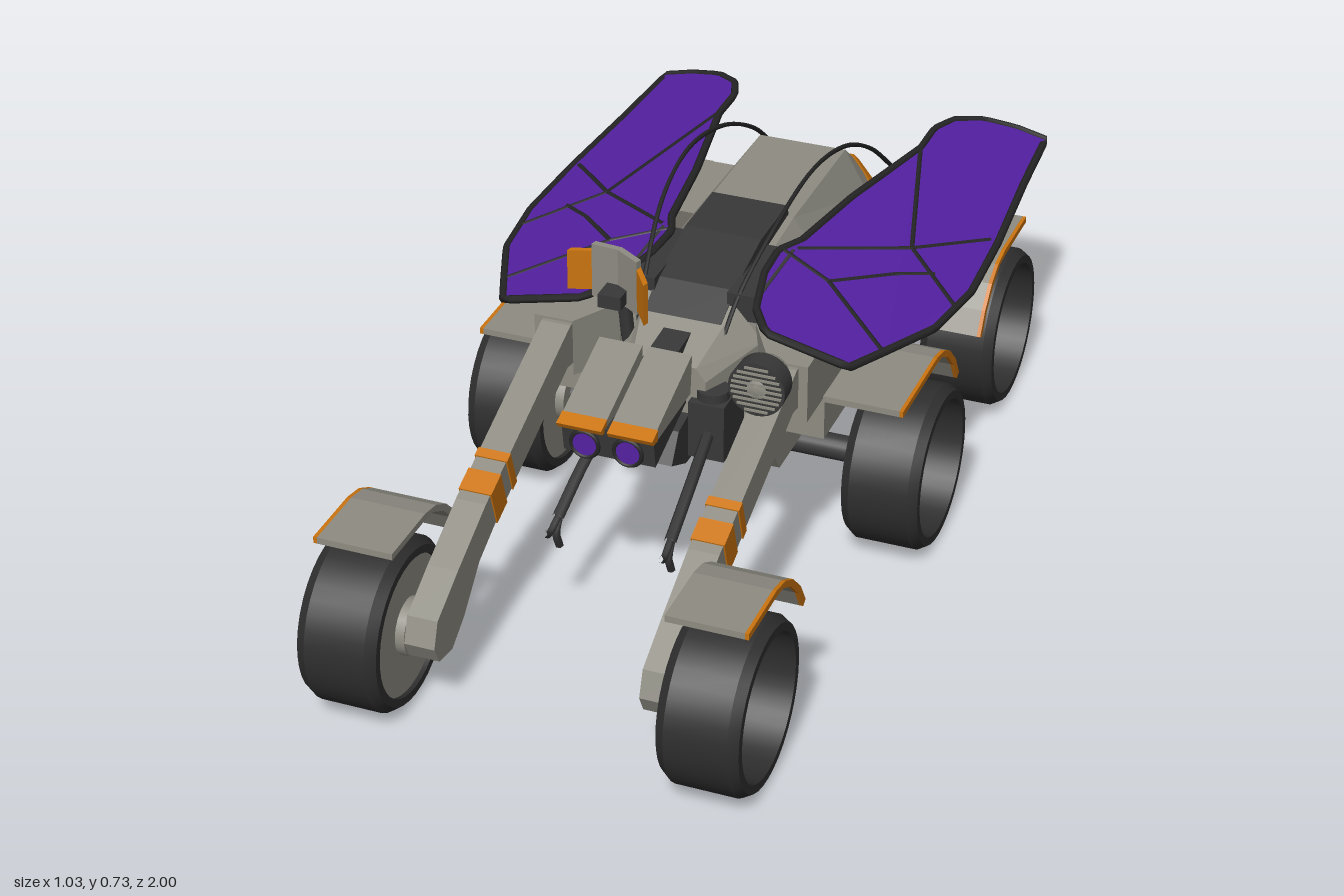
import * as THREE from 'three';
import { toCreasedNormals } from 'three/addons/utils/BufferGeometryUtils.js';

const mat = (name, color, double) => {
  const m = new THREE.MeshStandardMaterial({ color });
  m.name = name;
  if (double) m.side = THREE.DoubleSide;
  return m;
};

export function createModel() {
  const grey = mat('hull grey', 0x8e8c82), dark = mat('dark metal', 0x383838), tyreMat = mat('tyre black', 0x2e2e2e);
  const orange = mat('orange trim', 0xcc750f), purple = mat('purple', 0x5420a2), frame = mat('frame black', 0x262626);
  const model = new THREE.Group();

  const add = (name, geo, material, parent = model) => {
    const m = new THREE.Mesh(geo, material);
    m.name = name;
    parent.add(m);
    return m;
  };
  const group = (name) => {
    const g = new THREE.Group();
    g.name = name;
    model.add(g);
    return g;
  };
  const shapeOf = (pts) => new THREE.Shape(pts.map(([a, b]) => new THREE.Vector2(a, b)));
  // side profile given as [z, y], spanning xa..xb
  const side = (pts, xa, xb) => {
    const x0 = Math.min(xa, xb), x1 = Math.max(xa, xb);
    return new THREE.ExtrudeGeometry(shapeOf(pts), { depth: x1 - x0, bevelEnabled: false }).rotateY(-Math.PI / 2).translate(x1, 0, 0);
  };
  // plan outline given as [x, z], spanning y0..y1
  const plan = (pts, y0, y1) => new THREE.ExtrudeGeometry(shapeOf(pts.map(([x, z]) => [x, -z])), { depth: y1 - y0, bevelEnabled: false })
    .rotateX(-Math.PI / 2).translate(0, y0, 0);
  const box = (x0, x1, y0, y1, z0, z1) => new THREE.BoxGeometry(Math.abs(x1 - x0), y1 - y0, z1 - z0)
    .translate((x0 + x1) / 2, (y0 + y1) / 2, (z0 + z1) / 2);
  const rod = (pts, r, n = 24) => new THREE.TubeGeometry(new THREE.CatmullRomCurve3(pts.map((p) => new THREE.Vector3(...p))), n, r, 6);
  const bar = (a, b, r) => new THREE.TubeGeometry(new THREE.LineCurve3(new THREE.Vector3(...a), new THREE.Vector3(...b)), 1, r, 6);

  // eight-sided loft, front to back: [z, bottom, low side, high side, top, half widths of bottom, side, top]
  const loft = (sections) => {
    const pos = [], idx = [], last = (sections.length - 1) * 8;
    sections.forEach(([z, y0, y1, y2, y3, w0, w1, w2]) => {
      [[w0, y0], [w1, y1], [w1, y2], [w2, y3], [-w2, y3], [-w1, y2], [-w1, y1], [-w0, y0]].forEach(([x, y]) => pos.push(x, y, z));
    });
    for (let i = 0; i < last; i += 8) for (let j = 0; j < 8; j++) {
      const a = i + j, b = i + (j + 1) % 8;
      idx.push(a, a + 8, b, b, a + 8, b + 8);
    }
    for (let j = 1; j < 7; j++) idx.push(0, j, j + 1, last, last + j + 1, last + j);
    let g = new THREE.BufferGeometry();
    g.setAttribute('position', new THREE.Float32BufferAttribute(pos, 3));
    g.setIndex(idx);
    g = g.toNonIndexed();
    g.computeVertexNormals();
    return g;
  };

  // hull
  add('hull', loft([
    [0.2, 0.34, 0.38, 0.47, 0.5, 0.06, 0.09, 0.07],
    [0.05, 0.27, 0.32, 0.5, 0.57, 0.12, 0.16, 0.1],
    [-0.3, 0.24, 0.3, 0.52, 0.6, 0.12, 0.16, 0.1],
    [-0.64, 0.26, 0.32, 0.5, 0.598, 0.11, 0.155, 0.1],
    [-0.73, 0.27, 0.33, 0.46, 0.525, 0.1, 0.15, 0.1],
    [-0.78, 0.28, 0.34, 0.41, 0.455, 0.09, 0.14, 0.1]]), grey);
  add('hullStripe', loft([
    [-0.69, 0.42, 0.43, 0.484, 0.563, 0.13, 0.157, 0.104],
    [-0.733, 0.41, 0.42, 0.465, 0.527, 0.13, 0.154, 0.104]]), orange);
  add('lowerPod', side([[0.1, 0.27], [0.05, 0.2], [-0.35, 0.2], [-0.35, 0.42], [0.1, 0.42]], -0.2, 0.2), grey);
  add('canopy', side([[-0.32, 0.58], [-0.3, 0.627], [-0.14, 0.627], [0.02, 0.59], [0.13, 0.53], [0.13, 0.48], [-0.32, 0.5]], -0.085, 0.085), dark);
  add('chest', side([[0.0, 0.27], [0.22, 0.28], [0.3, 0.32], [0.26, 0.38], [0, 0.42]], -0.055, 0.055), dark);
  add('neck', side([[0.05, 0.54], [0.2, 0.53], [0.32, 0.53], [0.4, 0.47], [0.32, 0.42], [0.2, 0.31], [0.1, 0.3]], -0.03, 0.03), dark);
  add('axle', new THREE.CylinderGeometry(0.028, 0.028, 0.72, 20).rotateZ(Math.PI / 2).translate(0, 0.18, -0.1), dark);

  // head
  add('face', side([[0.33, 0.52], [0.505, 0.515], [0.495, 0.445], [0.33, 0.5]], -0.098, 0.098), dark);
  for (const s of [-1, 1]) {
    add('headPlate', side([[0.3, 0.595], [0.49, 0.53], [0.49, 0.505], [0.31, 0.51]], s * 0.006, s * 0.1), grey);
    add('brow', side([[0.49, 0.53], [0.522, 0.52], [0.515, 0.508], [0.49, 0.505]], s * 0.006, s * 0.102), orange);
    add('eye', new THREE.CylinderGeometry(0.027, 0.027, 0.02, 20).rotateX(Math.PI / 2).translate(s * 0.046, 0.477, 0.503), purple);
    add('eyeRing', new THREE.TorusGeometry(0.029, 0.005, 6, 20).translate(s * 0.046, 0.477, 0.511), frame);
  }

  // wheel with a recessed disc, open on the outer side
  const wheel = (s, x, z) => {
    const g = group('wheel'), w = 0.168;
    const profile = [[0.148, 0], [0.165, 0], [0.18, 0.02], [0.18, w - 0.02], [0.168, w], [0.15, w], [0.148, 0]];
    const turn = (geo, y) => geo.translate(0, y, 0).rotateZ(-s * Math.PI / 2).translate(s * x, 0.18, z);
    const tyre = new THREE.LatheGeometry(profile.map(([a, b]) => new THREE.Vector2(a, b)), 36);
    add('tyre', turn(toCreasedNormals(tyre, 0.5), 0), tyreMat, g);
    add('wheelDisc', turn(new THREE.CylinderGeometry(0.149, 0.149, 0.03, 36), 0.025), grey, g);
    add('rimRing', turn(new THREE.TorusGeometry(0.122, 0.01, 6, 36).rotateX(Math.PI / 2), 0.042), grey, g);
    add('hub', turn(new THREE.CylinderGeometry(0.06, 0.06, 0.07, 24), 0.025), grey, g);
  };
  // mudguard: flat at one end and curved down at the other
  const fender = (s, z, dir, flat, outer) => {
    const path = [[flat, 0.41], [-0.06, 0.41], [-0.11, 0.4], [-0.155, 0.375], [-0.2, 0.33], [-0.23, 0.28]];
    const under = path.map(([a, b], i) => [a - 0.004 * i + 0.006, b - 0.014]).reverse();
    under.forEach((p, i) => { if (i < 4) { p[0] = path[5 - i][0] + 0.014; p[1] = path[5 - i][1] - 0.008; } });
    under[under.length - 1][0] = flat;
    const pts = [...path, ...under].map(([a, b]) => [z + dir * a, b]);
    add('fender', side(pts, s * 0.28, s * outer), grey);
    add('fenderTrim', side(pts, s * outer, s * (outer + 0.008)), orange);
  };

  // wing outline as [x, z], sloping down outwards
  const outline = [[0.463, -0.99], [0.395, -0.99], [0.32, -0.97], [0.265, -0.92], [0.24, -0.85], [0.24, -0.75], [0.18, -0.45], [0.148, -0.22],
    [0.12, -0.15], [0.125, -0.05], [0.155, 0.08], [0.2, 0.148], [0.38, 0.148], [0.425, 0.04], [0.482, -0.1], [0.505, -0.28], [0.497, -0.5], [0.475, -0.78]];
  const veins = [[[0.24, -0.75], [0.35, -0.35]], [[0.48, -0.5], [0.35, -0.35]], [[0.35, -0.35], [0.15, -0.18]], [[0.35, -0.35], [0.495, -0.2]],
    [[0.35, -0.23], [0.245, -0.11]], [[0.42, -0.29], [0.35, -0.23]], [[0.12, -0.16], [0.245, -0.11]], [[0.245, -0.11], [0.415, 0.05]]];
  const wingY = (x) => 0.6 - 0.237 * (Math.abs(x) - 0.13);
  const wing = (s) => {
    const g = group('wing');
    const skin = plan(outline.map(([x, z]) => [s * x, z]), -0.003, 0.003), p = skin.attributes.position;
    for (let i = 0; i < p.count; i++) p.setY(i, p.getY(i) + wingY(p.getX(i)));
    skin.computeVertexNormals();
    add('wingSkin', skin, purple, g);
    const at = ([x, z]) => [s * x, wingY(x), z];
    const rim = new THREE.CurvePath();
    outline.forEach((a, i) => rim.add(new THREE.LineCurve3(new THREE.Vector3(...at(a)), new THREE.Vector3(...at(outline[(i + 1) % outline.length])))));
    add('wingRim', new THREE.TubeGeometry(rim, 120, 0.009, 6, true), frame, g);
    veins.forEach(([a, b]) => add('wingVein', bar(at(a), at(b), 0.0065), frame, g));
    add('wingJoint', box(s * 0.08, s * 0.15, 0.54, 0.6, -0.17, 0.05), dark, g);
  };

  for (const s of [-1, 1]) {
    wheel(s, 0.29, 0.82);
    wheel(s, 0.342, -0.1);
    wheel(s, 0.317, -0.715);
    fender(s, 0.82, 1, 0.09, 0.44);
    fender(s, -0.1, 1, 0.17, 0.465);
    fender(s, -0.715, -1, 0.105, 0.465);
    wing(s);

    // front leg and its bands
    add('shoulder', plan([[s * 0.14, 0.04], [s * 0.215, 0.17], [s * 0.3, 0.17], [s * 0.3, -0.26], [s * 0.14, -0.26]], 0.405, 0.535), grey);
    add('frontLeg', side([[0.05, 0.53], [0.18, 0.53], [0.62, 0.36], [0.76, 0.29], [0.86, 0.235], [0.88, 0.18], [0.86, 0.14], [0.8, 0.13],
      [0.74, 0.17], [0.66, 0.25], [0.58, 0.29], [0.2, 0.44], [0.05, 0.42]], s * 0.215, s * 0.28), grey);
    for (const [a, b] of [[0.5, 0.52], [0.55, 0.6]]) {
      const top = (z) => 0.533 - (z - 0.18) * 0.386, low = (z) => 0.437 - (z - 0.2) * 0.395;
      add('legBand', side([[a, top(a)], [b, top(b)], [b - 0.025, low(b - 0.025)], [a - 0.025, low(a - 0.025)]], s * 0.212, s * 0.283), orange);
    }
    // rear and middle suspension
    add('rearLeg', side([[-0.55, 0.42], [-0.8, 0.42], [-0.78, 0.16], [-0.72, 0.12], [-0.65, 0.16]], s * 0.22, s * 0.3), grey);
    add('rearLegMount', box(s * 0.1, s * 0.24, 0.3, 0.42, -0.75, -0.57), grey);
    add('middleMount', box(s * 0.18, s * 0.3, 0.3, 0.41, -0.25, 0.06), grey);

    // gripping arms
    add('armHousing', box(s * 0.06, s * 0.138, 0.3, 0.43, 0.08, 0.22), dark);
    add('armShoulder', new THREE.CylinderGeometry(0.035, 0.035, 0.06, 16).translate(s * 0.1, 0.42, 0.18), dark);
    add('gripperArm', rod([[s * 0.1, 0.36, 0.2], [s * 0.115, 0.33, 0.33], [s * 0.122, 0.265, 0.48]], 0.013), dark);
    add('claw', rod([[s * 0.122, 0.27, 0.47], [s * 0.122, 0.235, 0.49], [s * 0.122, 0.195, 0.475]], 0.009, 8), dark);
    add('claw', rod([[s * 0.122, 0.265, 0.48], [s * 0.124, 0.25, 0.52], [s * 0.125, 0.265, 0.545]], 0.008, 8), dark);
    // feelers sweeping back over the hull
    add('feeler', rod([[s * 0.09, 0.5, 0.13], [s * 0.105, 0.6, 0.04], [s * 0.13, 0.69, -0.12], [s * 0.14, 0.722, -0.29],
      [s * 0.14, 0.68, -0.5], [s * 0.138, 0.58, -0.7], [s * 0.143, 0.455, -0.86]], 0.005, 40), frame);
  }

  // curved sensor panel on a post
  const strip = (pts) => [...pts, ...pts.map(([x, z]) => [x + 0.004, z - 0.014]).reverse()];
  add('sensorPanel', plan(strip([[-0.18, 0.145], [-0.12, 0.15], [-0.065, 0.185]]), 0.59, 0.712), grey);
  add('sensorEdge', plan(strip([[-0.228, 0.16], [-0.18, 0.145]]), 0.605, 0.695), orange);
  add('sensorEdge', plan(strip([[-0.065, 0.185], [-0.028, 0.24]]), 0.602, 0.695), orange);
  add('sensorBracket', box(-0.145, -0.095, 0.6, 0.63, 0.13, 0.2), dark);
  add('sensorPost', bar([-0.11, 0.48, 0.12], [-0.12, 0.66, 0.135], 0.016), dark);

  // round lamp with slatted front
  const lamp = group('lamp');
  lamp.position.set(0.25, 0.567, 0.29);
  add('lampRim', new THREE.CylinderGeometry(0.06, 0.058, 0.05, 28).rotateX(Math.PI / 2).translate(0, 0, 0.022), dark, lamp);
  add('lampBack', new THREE.SphereGeometry(0.052, 24, 14), grey, lamp);
  for (let i = -4; i <= 4; i++) {
    const y = i * 0.012, half = Math.sqrt(0.054 ** 2 - y * y);
    add('lampSlat', box(-half, half, y - 0.0025, y + 0.0025, 0.046, 0.05), grey, lamp);
  }
  add('lampStalk', bar([0, -0.02, -0.01], [0, -0.1, -0.04], 0.014), dark, lamp);

  return model;
}
